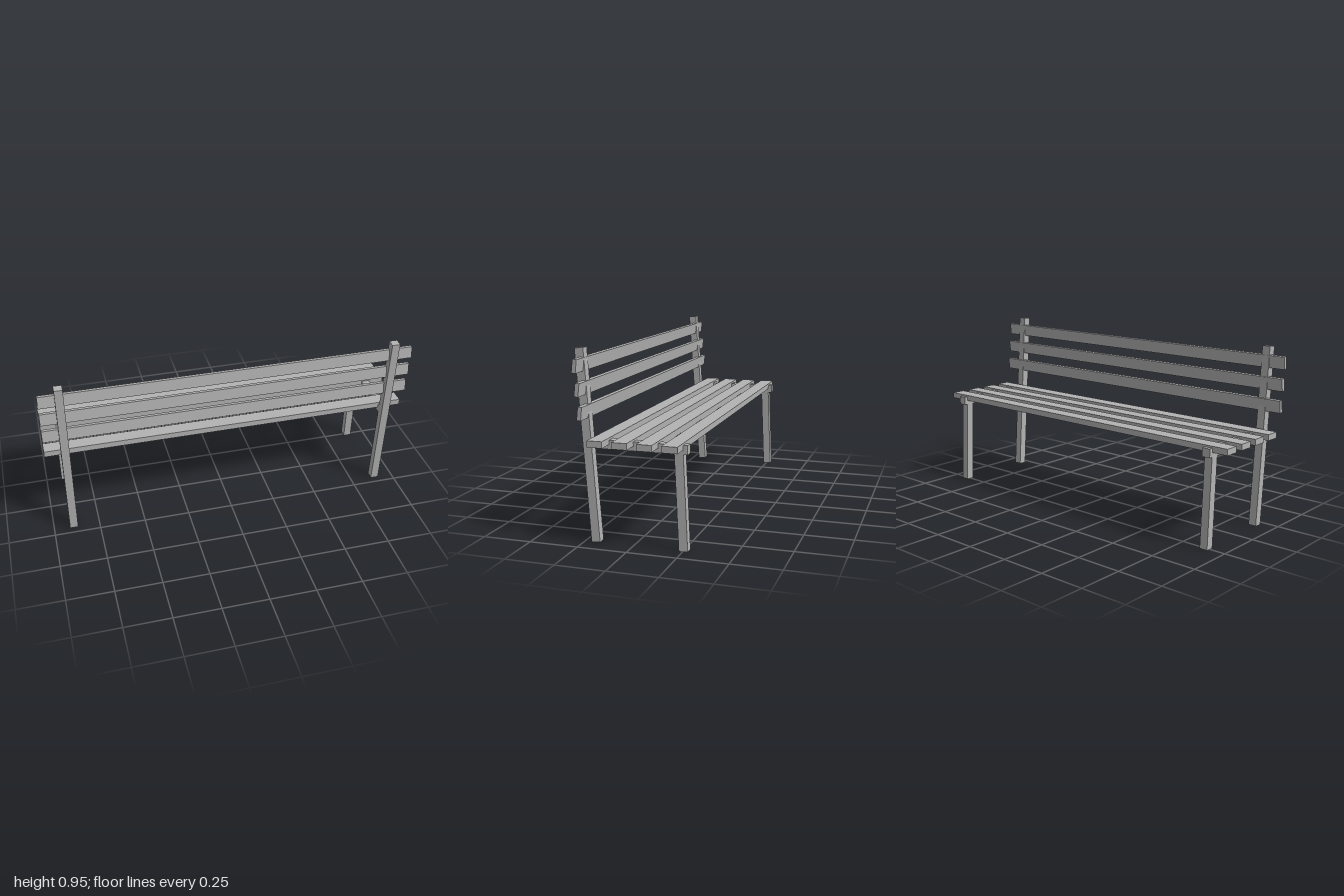
import * as THREE from 'three';

export function createModel() {
  const bench = new THREE.Group();
  bench.name = 'bench';
  const grey = new THREE.MeshStandardMaterial({ color: 0xb2b2b2 });
  grey.name = 'grey';

  // A straight timber, leaning in the side plane by tilt
  function timber(name, [w, h, d], [x, y, z], tilt = 0) {
    const mesh = new THREE.Mesh(new THREE.BoxGeometry(w, h, d), grey);
    mesh.name = name;
    mesh.position.set(x, y, z);
    mesh.rotation.x = tilt;
    bench.add(mesh);
  }

  const post = 0.044;

  // End frames: tall leg carrying the backrest, short leg and seat rail
  for (const [side, s] of [['left', 1], ['right', -1]]) {
    const x = s * 0.892;
    timber(side + 'BackPost', [post, 0.946, post], [x, 0.4745, 0.2238], 0.0714);
    timber(side + 'ShortLeg', [post, 0.471, post], [x, 0.2365, -0.2438], 0.045);
    timber(side + 'SeatRail', [post, 0.045, 0.481], [x, 0.4925, -0.0355]);
  }

  // Seat slats, let into the rails
  for (let i = 0; i < 4; i++) {
    timber('seatSlat' + (i + 1), [2, 0.032, 0.077], [0, 0.509, 0.1515 - i * 0.1227]);
  }

  // Backrest slats, tipped against the lean of the posts
  for (let i = 0; i < 3; i++) {
    timber('backSlat' + (i + 1), [2, 0.065, 0.0205], [0, 0.649 + i * 0.1107, 0.2235 + i * 0.0105], -0.11);
  }

  return bench;
}
